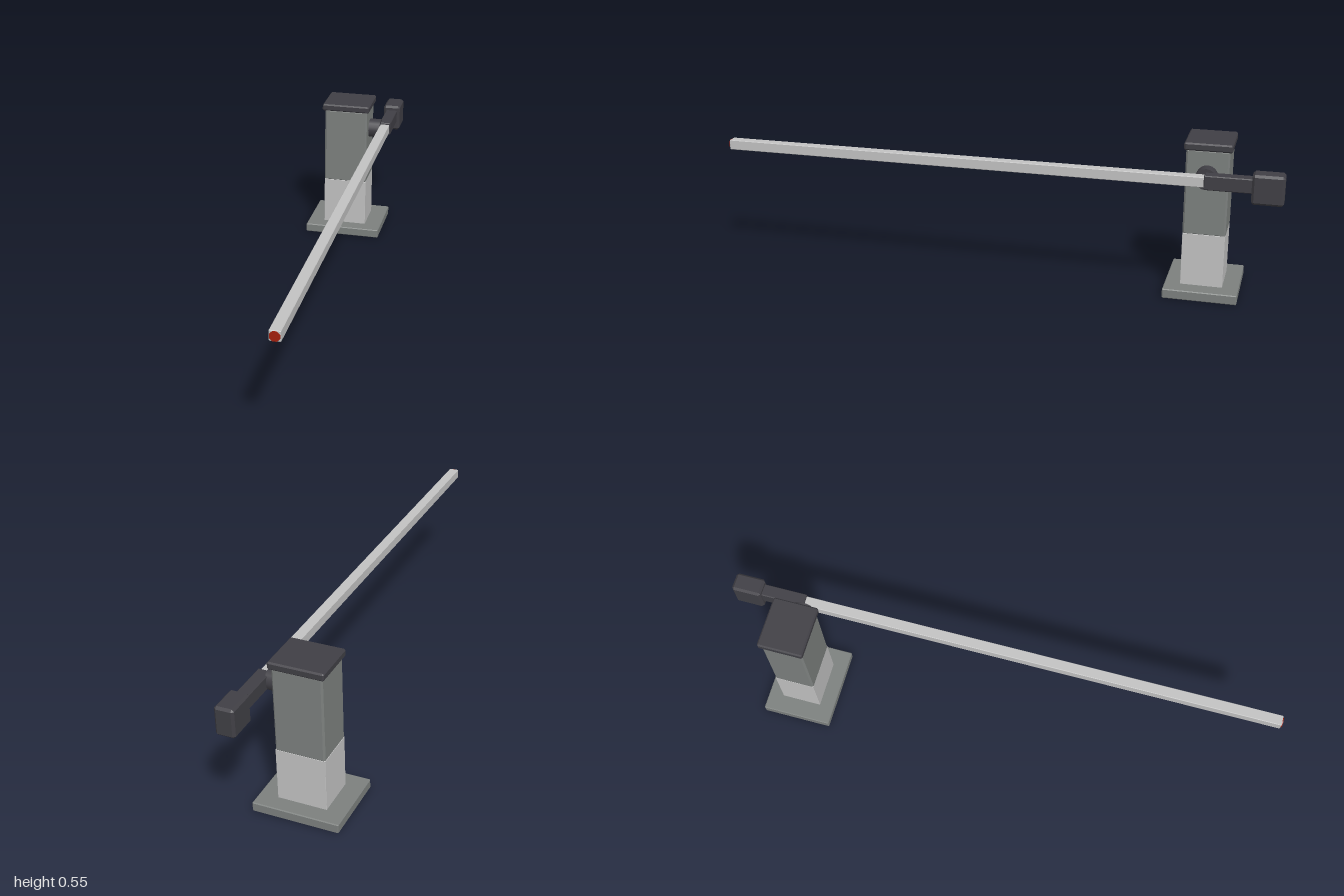
import * as THREE from 'three';
import { ConvexGeometry } from 'three/addons/geometries/ConvexGeometry.js';

const material = (name, color) => {
  const m = new THREE.MeshStandardMaterial({ color });
  m.name = name;
  return m;
};

// Box given by its limits on each axis, with all edges chamfered by c
function chamferBox([x0, x1], [y0, y1], [z0, z1], c) {
  const half = new THREE.Vector3(x1 - x0, y1 - y0, z1 - z0).multiplyScalar(0.5);
  const points = [];
  for (const sx of [-1, 1]) for (const sy of [-1, 1]) for (const sz of [-1, 1]) {
    for (const face of [0, 1, 2]) {
      points.push(new THREE.Vector3(
        sx * (half.x - (face === 0 ? 0 : c)),
        sy * (half.y - (face === 1 ? 0 : c)),
        sz * (half.z - (face === 2 ? 0 : c))));
    }
  }
  return new ConvexGeometry(points).translate((x0 + x1) / 2, (y0 + y1) / 2, (z0 + z1) / 2);
}

export function createModel() {
  const model = new THREE.Group();
  model.name = 'barrierGate';

  const lightGrey = material('lightGrey', 0xc2c2c2);
  const midGrey = material('midGrey', 0x7c807e);
  const darkGrey = material('darkGrey', 0x403f45);
  const red = material('red', 0xa3200d);

  const add = (name, geometry, mat) => {
    const mesh = new THREE.Mesh(geometry, mat);
    mesh.name = name;
    model.add(mesh);
    return mesh;
  };

  // Pedestal: foot plate, lower post, upper housing and lid
  add('basePlate', chamferBox([-0.167, 0.135], [0, 0.034], [-0.866, -0.61], 0.003), midGrey);
  add('lowerPost', chamferBox([-0.102, 0.07], [0.03, 0.222], [-0.81, -0.664], 0.001), lightGrey);
  add('upperHousing', chamferBox([-0.102, 0.07], [0.218, 0.524], [-0.811, -0.663], 0.006), midGrey);
  add('lid', chamferBox([-0.111, 0.079], [0.521, 0.548], [-0.82, -0.656], 0.005), darkGrey);

  // Pivot hub on the side of the housing
  const hub = add('pivotHub', new THREE.CylinderGeometry(0.037, 0.037, 0.05, 16), darkGrey);
  hub.rotation.z = Math.PI / 2;
  hub.position.set(0.09, 0.435, -0.738);

  // Long boom with a red tip marker
  add('boom', chamferBox([0.113, 0.15], [0.417, 0.453], [-0.738, 0.997], 0.002), lightGrey);
  const tip = add('tipMarker', new THREE.CylinderGeometry(0.0175, 0.0175, 0.006, 8), red);
  tip.rotation.set(Math.PI / 2, Math.PI / 8, 0);
  tip.position.set(0.1315, 0.435, 0.997);

  // Rear arm and counterweight
  add('rearArm', chamferBox([0.109, 0.154], [0.41, 0.46], [-0.9, -0.735], 0.003), darkGrey);
  add('counterweight', chamferBox([0.098, 0.165], [0.375, 0.478], [-1, -0.893], 0.008), darkGrey);

  return model;
}
